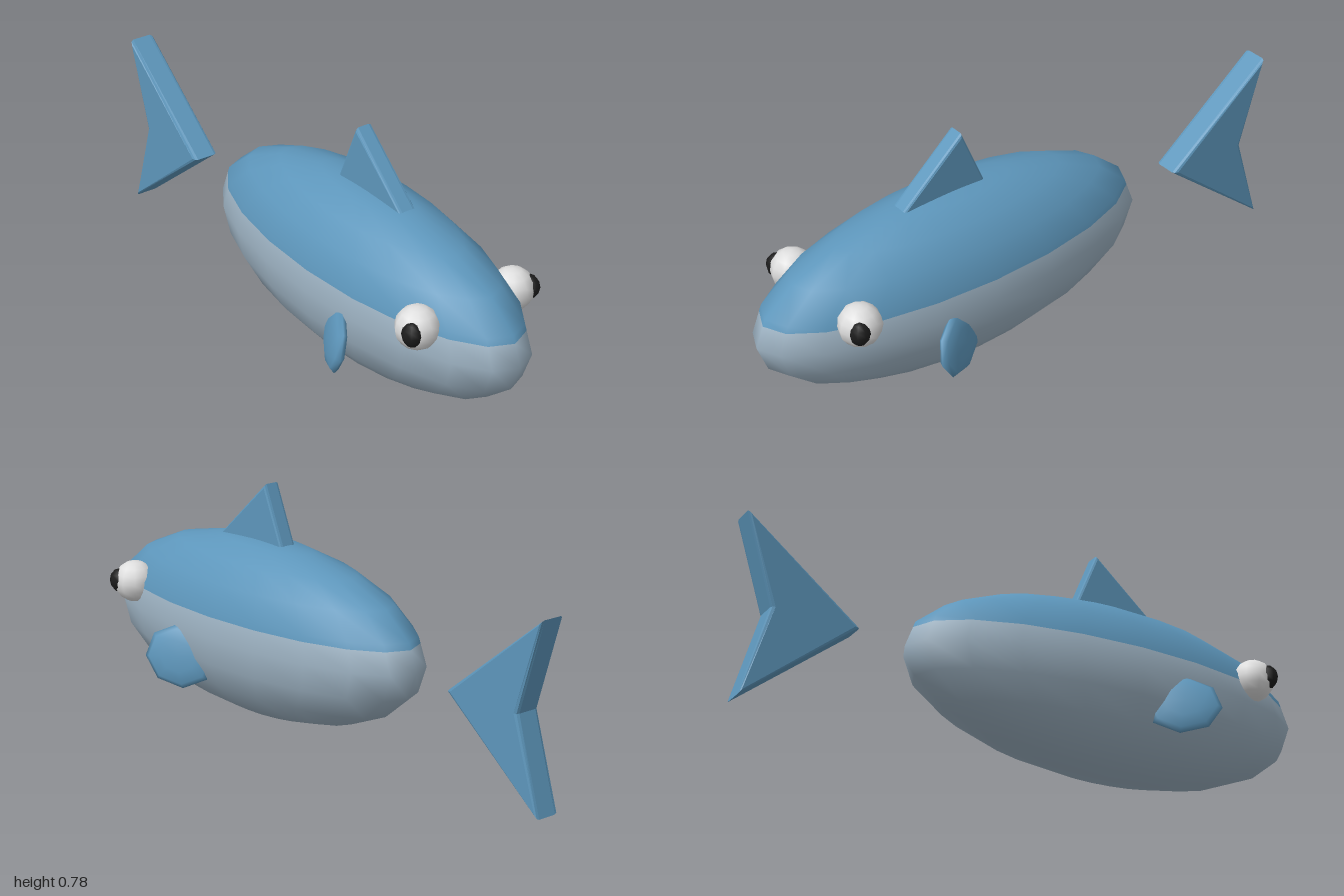
import * as THREE from 'three';

const material = (name, color) => {
  const m = new THREE.MeshStandardMaterial({ color });
  m.name = name;
  return m;
};

export function createModel() {
  const blue = material('blue', 0x5d96bb);
  const belly = material('pale belly', 0x9db2c2);
  const white = material('eye white', 0xdedede);
  const black = material('pupil black', 0x1c1c1c);

  const fish = new THREE.Group();
  fish.name = 'fish';

  function add(name, geometry, mat, position = [0, 0, 0]) {
    const mesh = new THREE.Mesh(geometry, mat);
    mesh.name = name;
    mesh.position.set(...position);
    fish.add(mesh);
    return mesh;
  }

  // Body: a twenty-sided ellipsoid split at the colour line
  const ring = (i) => new THREE.Vector2(
    Math.max(0, Math.sin((i * Math.PI) / 10)), -Math.cos((i * Math.PI) / 10));
  const split = ring(5).lerp(ring(6), 0.77);
  function bodyPart(profile) {
    const g = new THREE.LatheGeometry(profile, 20);
    const p = g.attributes.position;
    const n = new THREE.Vector3();
    for (let i = 0; i < p.count; i++) {
      n.fromBufferAttribute(p, i).normalize();
      g.attributes.normal.setXYZ(i, n.x, n.y, n.z);
    }
    return g.scale(0.72, 0.295, 0.248);
  }
  const centre = [0.28, 0.303, 0];
  add('lowerBody', bodyPart([...[0, 1, 2, 3, 4, 5].map(ring), split]), belly, centre);
  add('upperBody', bodyPart([split, ...[6, 7, 8, 9, 10].map(ring)]), blue, centre);

  // Flat fins with rounded edges, lying in the middle plane
  function flatFin(name, points, width, bevel) {
    const shape = new THREE.Shape(points.map(([x, y]) => new THREE.Vector2(x, y)));
    const g = new THREE.ExtrudeGeometry(shape, {
      depth: width - 2 * bevel, bevelThickness: bevel, bevelSize: bevel,
      bevelOffset: -bevel, bevelSegments: 2,
    });
    add(name, g.translate(0, 0, bevel - width / 2), blue);
  }
  flatFin('tailFin', [[-1, 0.605], [-0.91, 0.303], [-1, 0], [-0.615, 0.303]], 0.09, 0.012);
  flatFin('dorsalFin', [[0.157, 0.57], [0.485, 0.57], [0.247, 0.782]], 0.06, 0.01);

  // Paired side fins and eyes
  for (const [side, s] of [['left', 1], ['right', -1]]) {
    const finShape = new THREE.SphereGeometry(1, 8, 6).rotateX(Math.PI / 2)
      .rotateZ(-0.2).scale(0.125, 0.105, 0.028);
    const fin = add(side + 'SideFin', finShape, blue, [0.428, 0.207, s * 0.24]);
    fin.rotation.set(-s * 0.2, -s * 0.5, 0);
    // the front-facing side is the +z one; both discs are symmetric through z
    add(side + 'Eye', new THREE.SphereGeometry(0.07, 10, 8), white, [0.748, 0.386, s * 0.182]);
    add(side + 'Pupil', new THREE.SphereGeometry(1, 8, 6).scale(0.034, 0.04, 0.032),
      black, [0.777, 0.39, s * 0.225]);
  }
  return fish;
}
